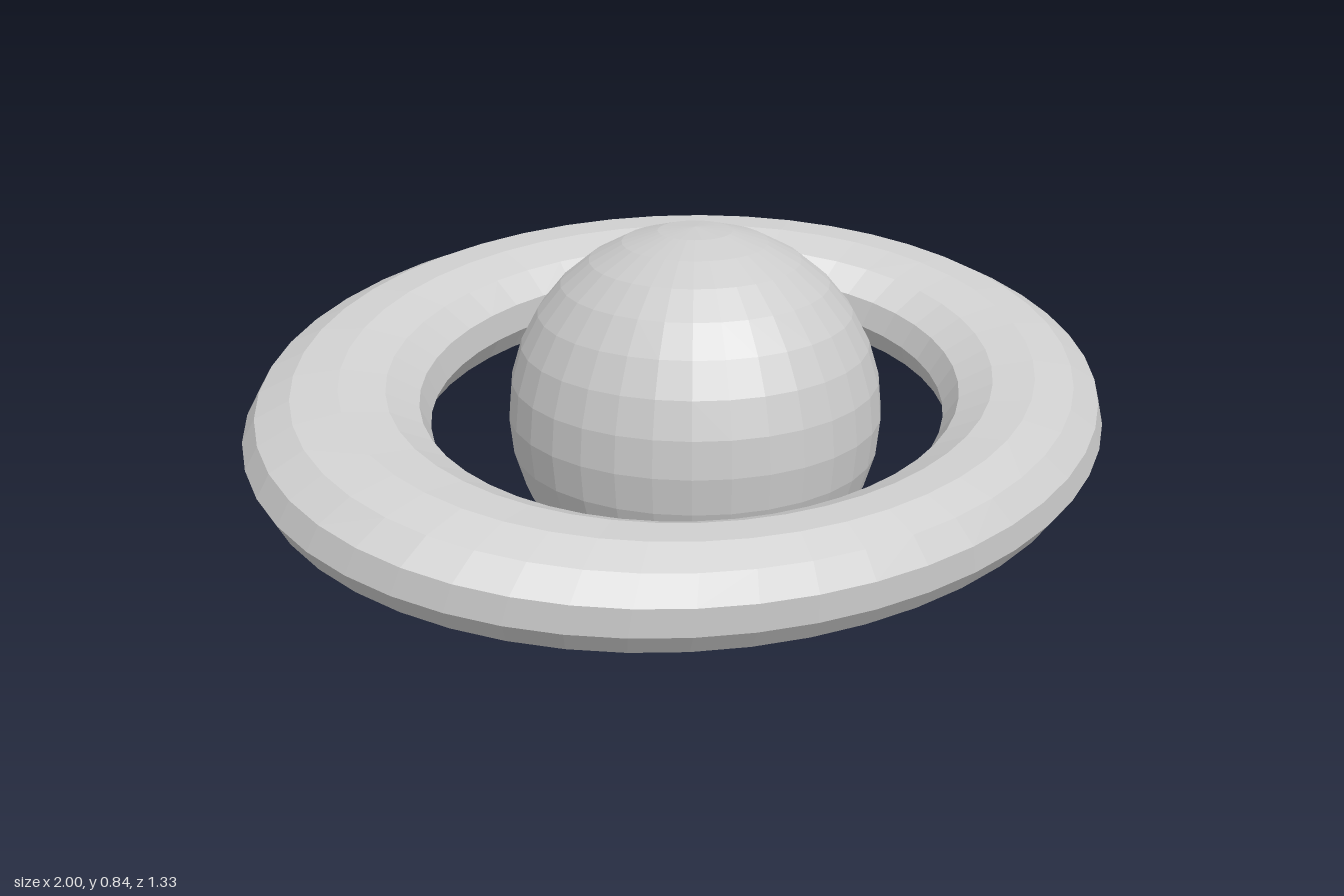
import * as THREE from 'three';

const CENTER_Y = 0.42;
const TILT = THREE.MathUtils.degToRad(18.3);

export function createModel() {
  const model = new THREE.Group();
  model.name = 'ringedPlanet';
  const material = new THREE.MeshStandardMaterial({ color: 0xcccccc, flatShading: true });

  // Faceted globe resting on the ground
  const globe = new THREE.Mesh(new THREE.SphereGeometry(0.42, 32, 16), material);
  globe.name = 'globe';
  globe.position.y = CENTER_Y;
  model.add(globe);

  // Oval ring: a twelve-sided torus, flattened and narrowed, then tipped down at the front
  const ringGeometry = new THREE.TorusGeometry(0.8, 0.2, 12, 48);
  ringGeometry.rotateX(-Math.PI / 2);
  ringGeometry.scale(1, 0.6, 0.7);
  const ring = new THREE.Mesh(ringGeometry, material);
  ring.name = 'ring';
  ring.position.y = CENTER_Y;
  ring.rotation.x = TILT;
  model.add(ring);

  return model;
}
